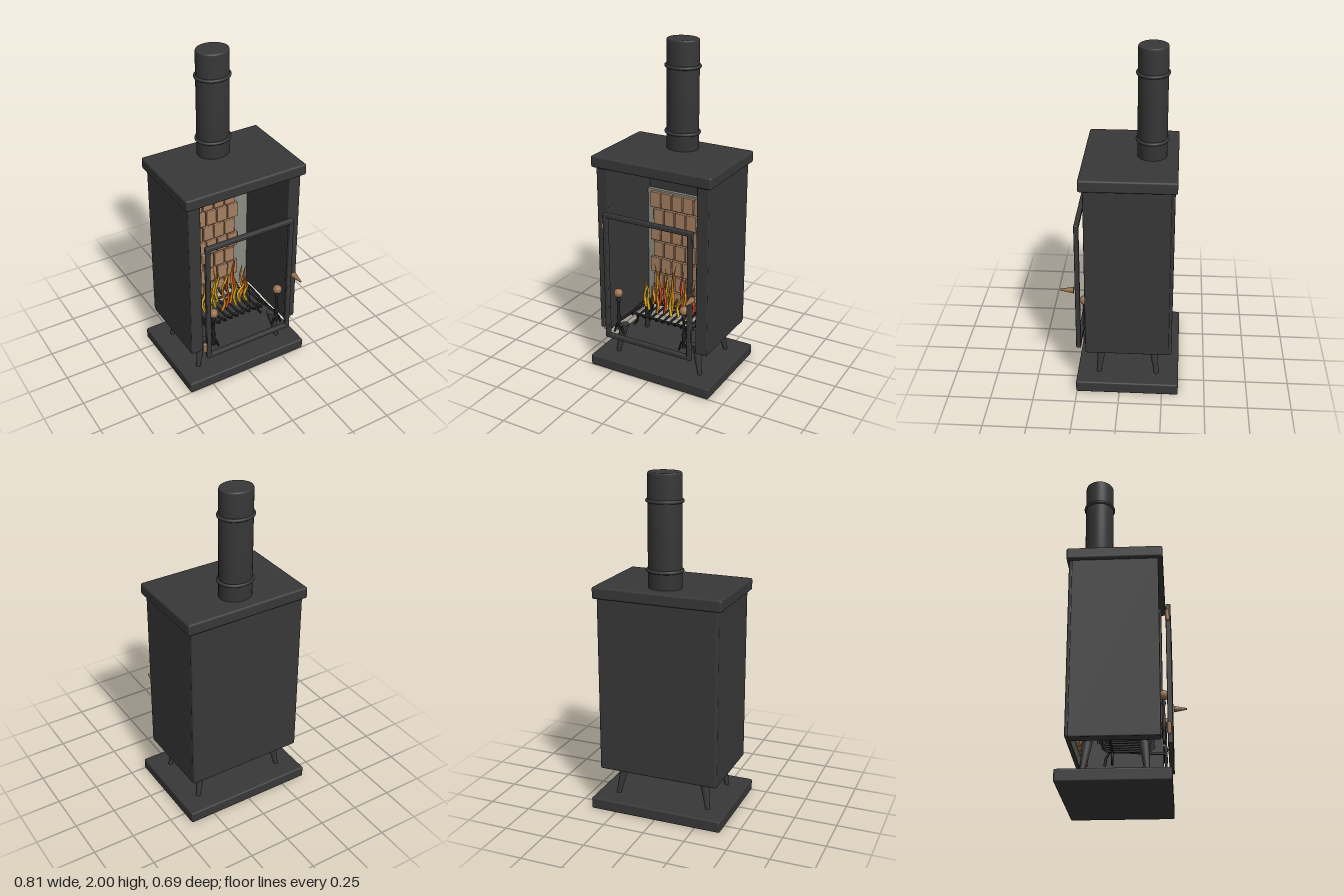
import * as THREE from 'three';
import { RoundedBoxGeometry } from 'three/addons/geometries/RoundedBoxGeometry.js';

const material = (name, color) => {
  const m = new THREE.MeshStandardMaterial({ color });
  m.name = name;
  return m;
};

// Tapered round rod along a curve; radiusAt(t) gives its radius.
function taperedTube(points, radiusAt, steps = 16, sides = 8) {
  const curve = new THREE.CatmullRomCurve3(points.map(p => new THREE.Vector3(...p)));
  const geo = new THREE.TubeGeometry(curve, steps, 1, sides, false);
  const pos = geo.attributes.position;
  const v = new THREE.Vector3();
  for (let i = 0; i <= steps; i++) {
    const c = curve.getPointAt(i / steps);
    for (let j = 0; j <= sides; j++) {
      const k = i * (sides + 1) + j;
      v.fromBufferAttribute(pos, k).sub(c).multiplyScalar(radiusAt(i / steps)).add(c);
      pos.setXYZ(k, v.x, v.y, v.z);
    }
  }
  geo.computeVertexNormals();
  return geo;
}

export function createModel() {
  const model = new THREE.Group();
  model.name = 'woodStove';

  const iron = material('castIron', 0x383838);
  const black = material('blackIron', 0x202022);
  const brick = material('brick', 0xa67f62);
  const mortar = material('mortar', 0x8c8c84);
  const copper = material('copper', 0x94704f);
  const yellow = material('flameYellow', 0xe0b020);
  const orange = material('flameOrange', 0xe08a1c);
  const red = material('flameRed', 0xd8481c);

  const add = (name, geo, mat, x = 0, y = 0, z = 0, parent = model) => {
    const mesh = new THREE.Mesh(geo, mat);
    mesh.name = name;
    mesh.position.set(x, y, z);
    parent.add(mesh);
    return mesh;
  };
  // Rounded box given by its limits on each axis.
  const block = (name, [x0, x1], [y0, y1], [z0, z1], r, mat, parent = model) =>
    add(name, new RoundedBoxGeometry(x1 - x0, y1 - y0, z1 - z0, 3, r), mat,
      (x0 + x1) / 2, (y0 + y1) / 2, (z0 + z1) / 2, parent);
  const rod = (name, points, r, mat, parent) =>
    add(name, taperedTube(points, () => r, 10, 8), mat, 0, 0, 0, parent);

  // Hearth plate, lid and the open-fronted, open-bottomed firebox
  block('hearthPlate', [-0.405, 0.405], [0, 0.07], [-0.345, 0.255], 0.01, iron);
  block('lid', [-0.385, 0.385], [1.29, 1.36], [-0.315, 0.225], 0.012, iron);
  block('backWall', [-0.362, 0.362], [0.25, 1.295], [-0.302, -0.275], 0.012, iron);
  for (const s of [-1, 1]) {
    const side = block('sideWall', [0.288, 0.363], [0.25, 1.295], [-0.285, 0.2], 0.006, iron);
    side.position.x *= s;
  }

  // Splayed tapered legs
  for (const sx of [-1, 1]) {
    for (const [zTop, zFoot] of [[0.108, 0.128], [-0.19, -0.215]]) {
      const leg = new THREE.CylinderGeometry(0.029, 0.013, 0.19, 16);
      const p = leg.attributes.position;
      for (let i = 0; i < p.count; i++) {
        const t = 0.5 - p.getY(i) / 0.19;
        p.setX(i, p.getX(i) + sx * (0.25 + 0.035 * t));
        p.setZ(i, p.getZ(i) + zTop + (zFoot - zTop) * t);
      }
      leg.computeVertexNormals();
      add('leg', leg, iron, 0, 0.16, 0);
    }
  }

  // Slightly oval flue pipe with two collars
  const flue = new THREE.Group();
  flue.name = 'flue';
  flue.position.z = -0.164;
  flue.scale.z = 0.87;
  model.add(flue);
  const pipeProfile = [[0, 1.34], [0.097, 1.34], [0.097, 1.99], [0.094, 1.997], [0.088, 2], [0, 2]];
  add('fluePipe', new THREE.LatheGeometry(pipeProfile.map(p => new THREE.Vector2(...p)), 48), iron, 0, 0, 0, flue);
  for (const y of [1.46, 1.845]) {
    const ring = add('flueCollar', new THREE.TorusGeometry(0.099, 0.01, 10, 48), iron, 0, y, 0, flue);
    ring.rotation.x = Math.PI / 2;
  }

  // Door frame with hinges and a tapered handle
  const door = new THREE.Group();
  door.name = 'door';
  model.add(door);
  for (const s of [-1, 1]) {
    const stile = block('doorStile', [0.262, 0.29], [0.23, 1.04], [0.234, 0.262], 0.006, iron, door);
    stile.position.x *= s;
  }
  for (const y of [0.23, 1.012])
    block('doorRail', [-0.285, 0.285], [y, y + 0.028], [0.234, 0.262], 0.006, iron, door);
  for (const y of [0.31, 0.965])
    add('hinge', new THREE.CapsuleGeometry(0.012, 0.048, 6, 16), copper, -0.298, y, 0.243, door);
  const handle = add('handle', new THREE.CylinderGeometry(0.005, 0.019, 0.077, 20), copper, 0.3, 0.635, 0.304, door);
  handle.rotation.x = Math.PI / 2;

  // Brick lining in staggered courses on a mortar panel
  const lining = new THREE.Group();
  lining.name = 'brickLining';
  model.add(lining);
  add('mortarPanel', new THREE.BoxGeometry(0.576, 0.775, 0.024), mortar, 0, 0.637, -0.264, lining);
  const brickGeo = new RoundedBoxGeometry(0.07, 0.102, 0.026, 2, 0.005);
  for (let row = 0; row < 7; row++)
    for (let i = 0; i < 6; i++)
      add('brick', brickGeo, brick, -0.226 + i * 0.0755 + (row % 2) * 0.022, 0.962 - row * 0.1095, -0.243, lining);

  // Fire grate: upturned bars resting on two cross rods
  const grate = new THREE.Group();
  grate.name = 'grate';
  model.add(grate);
  for (let i = 0; i < 10; i++) {
    const x = -0.19 + i * 0.042;
    rod('grateBar', [[x, 0.365, -0.15], [x, 0.345, -0.12], [x, 0.343, 0.08], [x + 0.01, 0.35, 0.13], [x + 0.015, 0.372, 0.15]], 0.007, black, grate);
  }
  for (const z of [-0.09, 0.09]) {
    rod('grateCrossRod', [[-0.21, 0.338, z], [0, 0.335, z], [0.21, 0.338, z]], 0.008, black, grate);
    for (const s of [-1, 1])
      rod('grateLeg', [[s * 0.17, 0.336, z], [s * 0.165, 0.3, z], [s * 0.19, 0.262, z]], 0.007, black, grate);
  }

  // Andirons with ball finials, curved feet and a bar running back
  for (const s of [-1, 1]) {
    const andiron = new THREE.Group();
    andiron.name = 'andiron';
    andiron.position.set(s * 0.222, 0, 0.214);
    model.add(andiron);
    const post = [[0, 0.28], [0.012, 0.28], [0.009, 0.34], [0.015, 0.36], [0.008, 0.38], [0.007, 0.46], [0.013, 0.475], [0.007, 0.5], [0, 0.5]];
    add('andironPost', new THREE.LatheGeometry(post.map(p => new THREE.Vector2(...p)), 16), black, 0, 0, 0, andiron);
    add('andironBall', new THREE.SphereGeometry(0.028, 24, 16), copper, 0, 0.522, 0, andiron);
    for (const f of [-1, 1])
      rod('andironFoot', [[0, 0.32, 0], [f * 0.015, 0.308, 0], [f * 0.024, 0.28, 0], [f * 0.032, 0.255, 0]], 0.007, black, andiron);
    rod('andironBar', [[0, 0.335, 0], [-s * 0.01, 0.335, -0.1], [-s * 0.015, 0.335, -0.33], [-s * 0.015, 0.26, -0.35]], 0.008, black, andiron);
  }

  // Wavering flame tongues: base x, height, depth, lean
  const flames = new THREE.Group();
  flames.name = 'flames';
  model.add(flames);
  const tongues = [
    [-0.16, 0.22, 0.0, -0.015], [-0.14, 0.15, -0.05, 0.02], [-0.12, 0.2, 0.03, -0.025],
    [-0.1, 0.26, -0.06, 0.01], [-0.08, 0.31, -0.01, -0.02], [-0.06, 0.2, 0.04, 0.02],
    [-0.04, 0.27, -0.05, -0.01], [-0.02, 0.24, 0.02, 0.02], [0.0, 0.29, -0.03, 0.01],
    [0.02, 0.33, 0.0, 0.03], [0.04, 0.23, 0.04, -0.02], [0.06, 0.28, -0.04, 0.02],
    [0.08, 0.19, 0.02, 0.03], [0.1, 0.25, -0.02, 0.02], [0.12, 0.17, 0.03, -0.01],
    [0.14, 0.2, -0.04, 0.015],
  ];
  const flameColours = [yellow, orange, yellow, red];
  tongues.forEach(([x, h, z, lean], i) => {
    const w = i % 2 ? 0.014 : -0.014;
    const path = [[x, 0.35, z], [x + w, 0.35 + h * 0.3, z + w * 0.5], [x - w * 0.6 + lean * 0.5, 0.35 + h * 0.65, z], [x + lean, 0.35 + h, z - w * 0.5]];
    add('flame', taperedTube(path, t => 0.0006 + 0.0125 * (1 - t) * (0.7 + 1.1 * t)), flameColours[i % 4], 0, 0, 0, flames);
  });

  return model;
}
